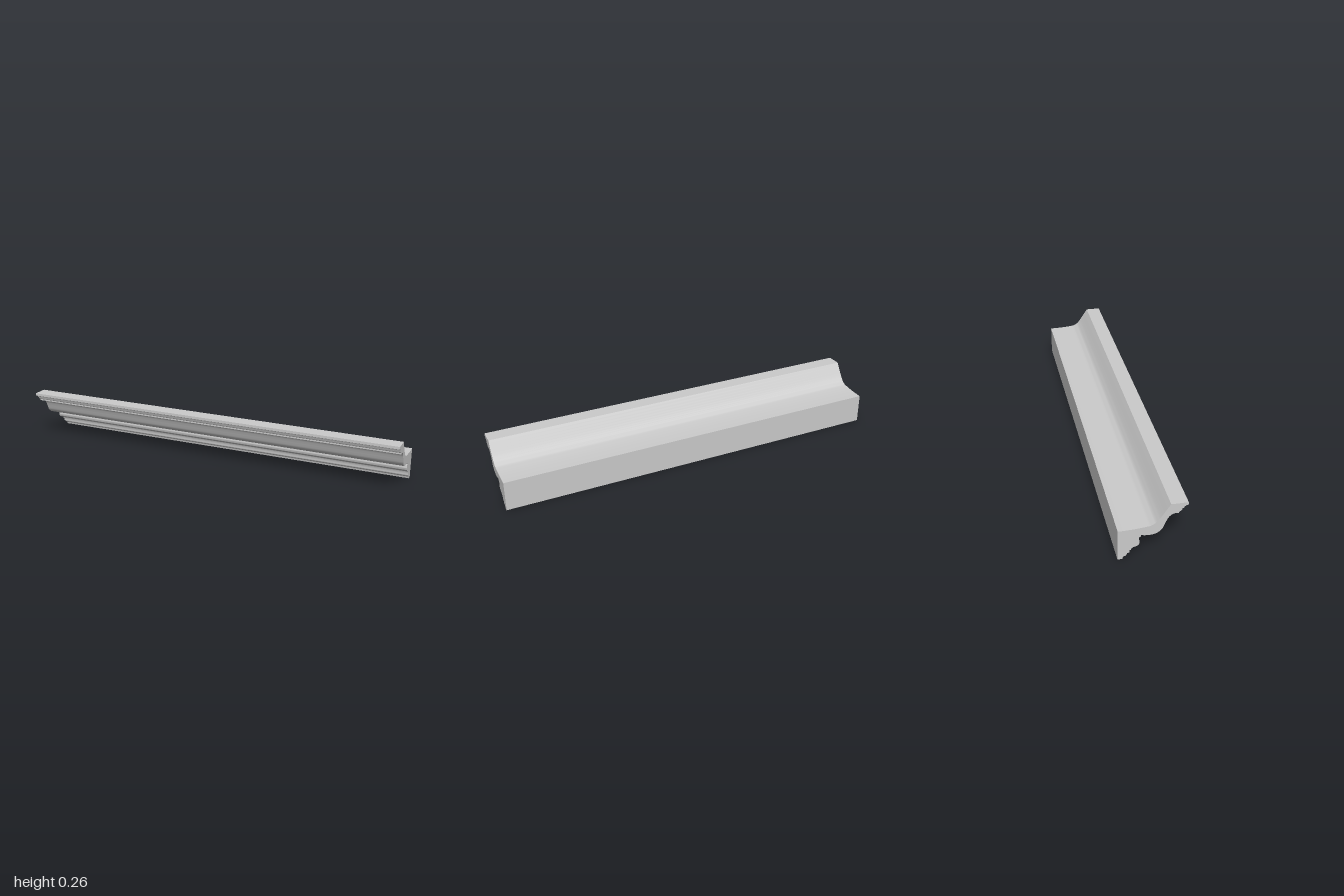
import * as THREE from 'three';
import { toCreasedNormals } from 'three/addons/utils/BufferGeometryUtils.js';

const LENGTH = 2;

// Cross-section of the cornice: shape x is depth (front positive), shape y is height
function corniceProfile() {
  const s = new THREE.Shape();
  // flat back and ledge
  s.moveTo(-0.15, 0);
  s.lineTo(-0.15, 0.151);
  s.lineTo(-0.128, 0.151);
  // sweeping upper back
  s.bezierCurveTo(-0.08, 0.152, -0.05, 0.154, -0.015, 0.159);
  s.bezierCurveTo(0.02, 0.166, 0.033, 0.198, 0.075, 0.26);
  // top and front lip
  s.lineTo(0.15, 0.26);
  s.lineTo(0.15, 0.247);
  // two small upper steps
  s.bezierCurveTo(0.139, 0.246, 0.132, 0.241, 0.131, 0.233);
  s.lineTo(0.124, 0.232);
  s.bezierCurveTo(0.124, 0.222, 0.118, 0.218, 0.111, 0.218);
  s.lineTo(0.111, 0.21);
  // large S-curve
  s.lineTo(0.1, 0.211);
  s.bezierCurveTo(0.066, 0.212, 0.058, 0.176, 0.047, 0.15);
  s.bezierCurveTo(0.035, 0.118, 0, 0.104, -0.05, 0.117);
  s.lineTo(-0.05, 0.11);
  s.lineTo(-0.058, 0.105);
  // lower bulge and cove
  s.bezierCurveTo(-0.062, 0.097, -0.055, 0.094, -0.055, 0.082);
  s.bezierCurveTo(-0.055, 0.07, -0.061, 0.062, -0.073, 0.06);
  s.bezierCurveTo(-0.086, 0.057, -0.092, 0.051, -0.093, 0.044);
  // bottom steps
  s.lineTo(-0.099, 0.044);
  s.lineTo(-0.099, 0.03);
  s.lineTo(-0.109, 0.03);
  s.bezierCurveTo(-0.109, 0.018, -0.115, 0.015, -0.121, 0.014);
  s.bezierCurveTo(-0.126, 0.012, -0.129, 0.008, -0.129, 0);
  s.closePath();
  return s;
}

export function createModel() {
  const group = new THREE.Group();
  group.name = 'corniceMoulding';

  // run the profile along x
  const geometry = new THREE.ExtrudeGeometry(corniceProfile(), {
    depth: LENGTH, bevelEnabled: false, curveSegments: 12,
  });
  geometry.rotateY(-Math.PI / 2);
  geometry.translate(LENGTH / 2, 0, 0);

  const cornice = new THREE.Mesh(
    toCreasedNormals(geometry, 0.5),
    new THREE.MeshStandardMaterial({ color: 0xcccccc }),
  );
  cornice.name = 'cornice';
  group.add(cornice);
  return group;
}
